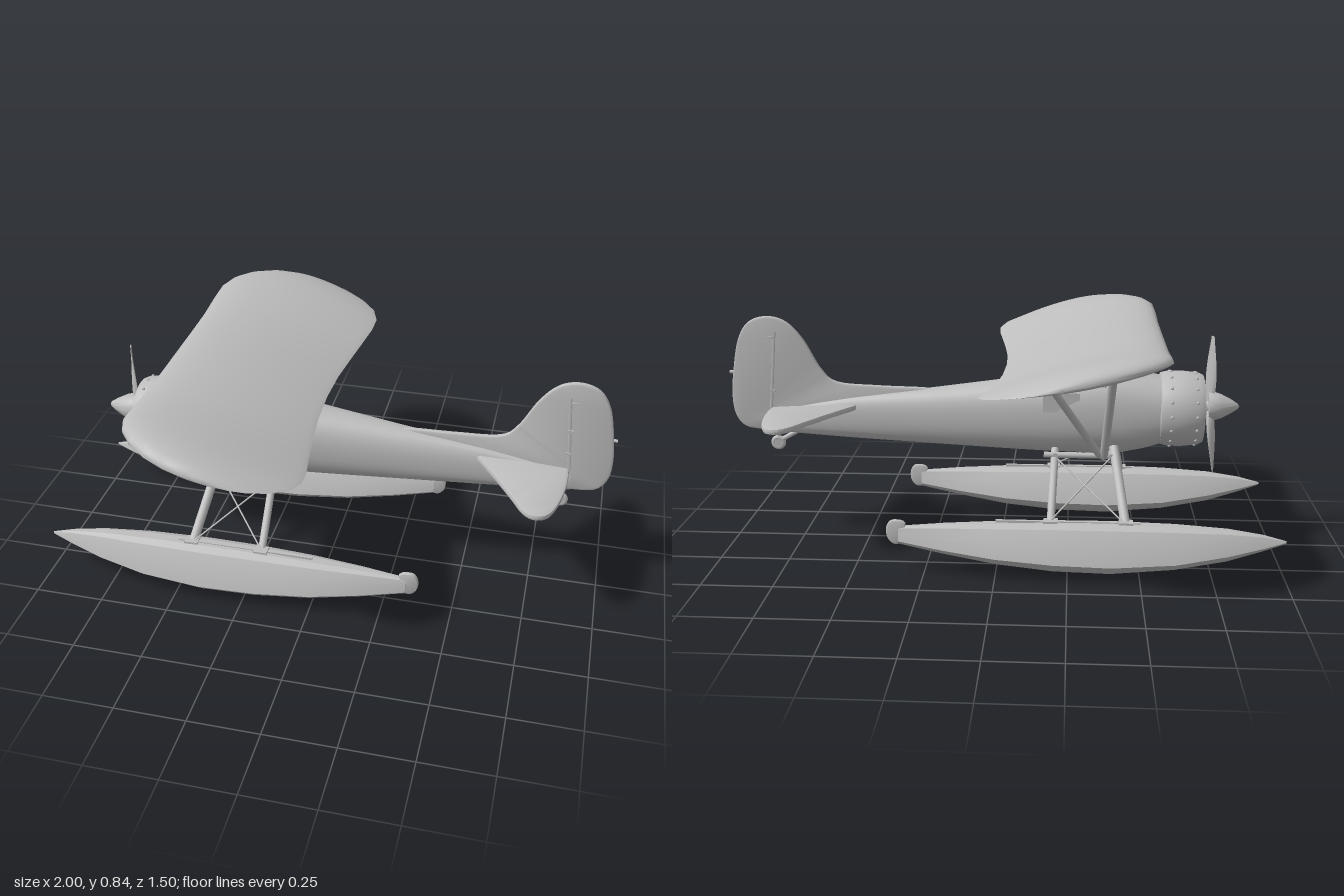
import * as THREE from 'three';
import { toCreasedNormals } from 'three/addons/utils/BufferGeometryUtils.js';

const gray = new THREE.MeshStandardMaterial({ color: 0xbdbdbd });
gray.name = 'plain gray';

const V = (x, y, z) => new THREE.Vector3(x, y, z);

// Skin a series of closed rings, cap both ends, and keep faces outward
function loft(rings, crease) {
  const n = rings[0].length, pos = [], idx = [];
  rings.forEach(r => r.forEach(p => pos.push(p.x, p.y, p.z)));
  for (let i = 0; i < rings.length - 1; i++) {
    for (let j = 0; j < n; j++) {
      const a = i * n + j, b = i * n + (j + 1) % n;
      idx.push(a, b, a + n, b, b + n, a + n);
    }
  }
  [0, rings.length - 1].forEach(k => {
    const c = V(0, 0, 0);
    rings[k].forEach(p => c.addScaledVector(p, 1 / n));
    const ci = pos.length / 3;
    pos.push(c.x, c.y, c.z);
    for (let j = 0; j < n; j++) {
      const a = k * n + j, b = k * n + (j + 1) % n;
      if (k === 0) idx.push(ci, b, a); else idx.push(ci, a, b);
    }
  });
  const at = i => V(pos[i * 3], pos[i * 3 + 1], pos[i * 3 + 2]);
  let volume = 0;
  for (let i = 0; i < idx.length; i += 3) volume += at(idx[i]).dot(at(idx[i + 1]).cross(at(idx[i + 2])));
  if (volume < 0) idx.reverse();
  const g = new THREE.BufferGeometry();
  g.setAttribute('position', new THREE.Float32BufferAttribute(pos, 3));
  g.setIndex(idx);
  return toCreasedNormals(g, crease);
}

// Thin plate with rounded edges from an outline in x and y
function plate(points, thickness) {
  const s = new THREE.Shape();
  s.moveTo(...points[0]);
  s.lineTo(...points[1]);
  s.splineThru(points.slice(2).map(p => new THREE.Vector2(...p)));
  const bevel = thickness * 0.4;
  const g = new THREE.ExtrudeGeometry(s, {
    depth: thickness - 2 * bevel, bevelThickness: bevel, bevelSize: bevel,
    bevelOffset: -bevel, bevelSegments: 2, curveSegments: 32,
  });
  g.translate(0, 0, bevel - thickness / 2);
  return toCreasedNormals(g, 0.7);
}

// Solid of revolution whose axis runs forward along -x
function turned(profile, y) {
  const g = new THREE.LatheGeometry(profile.map(p => new THREE.Vector2(...p)), 40);
  g.rotateZ(Math.PI / 2);
  g.translate(0, y, 0);
  return toCreasedNormals(g, 0.6);
}

export function createModel() {
  const model = new THREE.Group();
  model.name = 'floatplane';
  const add = (name, geometry, parent = model) => {
    const m = new THREE.Mesh(geometry, gray);
    m.name = name;
    parent.add(m);
    return m;
  };
  const rod = (name, a, b, r) => {
    const m = add(name, new THREE.CylinderGeometry(r, r, a.distanceTo(b), 12));
    m.position.copy(a).lerp(b, 0.5);
    m.quaternion.setFromUnitVectors(V(0, 1, 0), b.clone().sub(a).normalize());
    return m;
  };

  // Fuselage: x, bottom, top, half width
  const body = [
    [-0.6, 0.405, 0.64, 0.115], [-0.52, 0.38, 0.655, 0.122], [-0.44, 0.362, 0.677, 0.12],
    [-0.32, 0.358, 0.668, 0.116], [-0.15, 0.362, 0.643, 0.104], [0, 0.368, 0.622, 0.09],
    [0.25, 0.38, 0.588, 0.066], [0.55, 0.395, 0.55, 0.036], [0.86, 0.415, 0.5, 0.012],
  ];
  const power = c => Math.sign(c) * Math.abs(c) ** 0.85;
  add('fuselage', loft(body.map(([x, lo, hi, w]) => Array.from({ length: 36 }, (_, i) => {
    const a = i / 36 * Math.PI * 2;
    return V(x, (lo + hi) / 2 + (hi - lo) / 2 * power(Math.sin(a)), w * power(Math.cos(a)));
  })), 0.8));

  // Engine: cowl, cylinders, fasteners, spinner
  add('cowl', turned([[0.1, 0.565], [0.13, 0.575], [0.136, 0.6], [0.137, 0.65], [0.131, 0.71],
    [0.122, 0.728], [0.11, 0.73], [0.102, 0.72], [0.1, 0.66], [0, 0.66]], 0.525));
  add('crankcase', turned([[0.05, 0.65], [0.05, 0.71], [0.025, 0.74], [0.025, 0.76], [0, 0.76]], 0.53));
  add('spinner', turned([[0, 0.748], [0.052, 0.748], [0.053, 0.765], [0.044, 0.795],
    [0.025, 0.832], [0.01, 0.855], [0, 0.861]], 0.535));
  for (let i = 0; i < 9; i++) {
    const a = i / 9 * Math.PI * 2, s = Math.sin(a), c = Math.cos(a);
    rod('engineCylinder', V(-0.69, 0.525 + 0.04 * c, 0.04 * s), V(-0.69, 0.525 + 0.1 * c, 0.1 * s), 0.02);
  }
  for (let i = 0; i < 16; i++) {
    const a = i / 16 * Math.PI * 2;
    for (const [x, r] of [[-0.7, 0.132], [-0.61, 0.136]]) {
      add('cowlFastener', new THREE.SphereGeometry(0.006, 8, 6))
        .position.set(x, 0.525 + r * Math.cos(a), r * Math.sin(a));
    }
  }

  // Propeller blades, twisted along their length
  const blade = loft(Array.from({ length: 10 }, (_, i) => {
    const t = i / 9, y = 0.02 + t * 0.236, tw = 0.9 - 0.6 * t;
    const w = 0.01 + 0.017 * Math.sin(Math.PI * Math.min(1, 0.1 + t * 0.86)), d = 0.008 - 0.006 * t;
    return Array.from({ length: 12 }, (_, j) => {
      const a = j / 12 * Math.PI * 2, u = w * Math.cos(a), v = d * Math.sin(a);
      return V(u * Math.sin(tw) + v * Math.cos(tw), y, u * Math.cos(tw) - v * Math.sin(tw));
    });
  }), 0.9);
  for (const angle of [0, -2.44]) {
    const m = add('propellerBlade', blade);
    m.position.set(-0.755, 0.535, 0);
    m.rotation.x = angle;
  }

  // Wing half stations: z, leading edge x, trailing edge x, thickness factor
  const half = [
    [0, -0.58, -0.02, 1], [0.15, -0.58, -0.015, 1], [0.3, -0.58, 0, 1], [0.42, -0.58, 0.018, 1],
    [0.52, -0.575, 0.035, 1], [0.59, -0.55, 0.038, 0.98], [0.65, -0.505, 0.015, 0.9],
    [0.7, -0.44, -0.04, 0.75], [0.73, -0.37, -0.095, 0.55], [0.745, -0.3, -0.15, 0.3], [0.749, -0.25, -0.2, 0.08],
  ];
  const stations = [...half.slice(1).reverse().map(([z, ...r]) => [-z, ...r]), ...half];
  add('wing', loft(stations.map(([z, le, te, k]) => {
    const lift = 0.048 * THREE.MathUtils.smoothstep(Math.abs(z), 0.25, 0.78);
    return Array.from({ length: 36 }, (_, i) => {
      const a = i / 36 * Math.PI * 2, u = (1 - Math.cos(a)) / 2, x = le + (te - le) * u;
      const bulge = 2.6 * Math.sqrt(u) * (1 - u) + 0.1 * Math.abs(Math.sin(a));
      const chord = 0.783 - 0.105 * (x + 0.58) / 0.56;
      return V(x, chord + lift + k * bulge * (Math.sin(a) > 0 ? 0.046 : -0.017), z);
    });
  }), 1));

  // Tail: fin with its long forward fillet, and the tailplane
  add('finAndRudder', plate([[0.86, 0.42], [0.25, 0.575], [0.27, 0.588], [0.45, 0.594], [0.6, 0.606],
    [0.66, 0.655], [0.72, 0.76], [0.78, 0.825], [0.85, 0.846], [0.92, 0.825], [0.962, 0.76],
    [0.985, 0.65], [0.995, 0.55], [0.985, 0.475], [0.945, 0.43], [0.86, 0.42]], 0.022));
  rod('rudderPost', V(0.85, 0.5, 0), V(0.825, 0.79, 0), 0.0125);
  for (const y of [0.57, 0.66, 0.77]) {
    add('rudderHinge', new THREE.BoxGeometry(0.02, 0.008, 0.032)).position.set(0.84, y, 0);
  }
  rod('tailLamp', V(0.96, 0.637, 0), V(1, 0.637, 0), 0.006);
  for (const s of [1, -1]) {
    const g = plate([[0.85, 0], [0.5, 0], [0.53, 0.035], [0.6, 0.13], [0.67, 0.235], [0.715, 0.305], [0.76, 0.328],
      [0.805, 0.3], [0.835, 0.21], [0.85, 0.1], [0.85, 0]], 0.022);
    g.translate(-0.7, 0, 0);
    g.rotateX(s * Math.PI / 2);
    const m = add('tailplane', g);
    m.position.set(0.7, 0.506, 0);
    m.rotation.z = -0.06;
  }

  // Tail wheel
  rod('tailWheelLeg', V(0.75, 0.42, 0), V(0.83, 0.375, 0), 0.009);
  rod('tailWheelBrace', V(0.83, 0.425, 0), V(0.83, 0.375, 0), 0.007);
  add('tailWheel', new THREE.TorusGeometry(0.018, 0.01, 10, 20)).position.set(0.832, 0.37, 0);
  rod('tailWheelHub', V(0.832, 0.37, -0.01), V(0.832, 0.37, 0.01), 0.015);

  // Float stations: x, deck, chine, keel, half width
  const hull = [
    [-1, 0.143, 0.138, 0.133, 0.004], [-0.92, 0.163, 0.123, 0.103, 0.027], [-0.8, 0.18, 0.103, 0.063, 0.058],
    [-0.62, 0.191, 0.079, 0.027, 0.087], [-0.4, 0.196, 0.068, 0.006, 0.1], [-0.2, 0.195, 0.072, 0.011, 0.097],
    [0, 0.189, 0.083, 0.033, 0.082], [0.18, 0.18, 0.1, 0.067, 0.053], [0.34, 0.168, 0.118, 0.102, 0.02],
  ];
  for (const s of [1, -1]) {
    const cz = s * 0.32;
    add('float', loft(hull.map(([x, deck, chine, keel, w]) => {
      const side = [[0.2, deck], [0.48, deck - 0.1 * (deck - chine)], [0.8, chine + 0.45 * (deck - chine)],
        [1, chine], [0.72, keel + 0.55 * (chine - keel)], [0.42, keel + 0.36 * (chine - keel)]];
      const ring = [...side, [0, keel], ...side.slice().reverse().map(([u, y]) => [-u, y])];
      return ring.map(([u, y]) => V(x, y, cz + u * w));
    }), 0.3));
    add('floatDeckRib', new THREE.BoxGeometry(0.5, 0.008, 0.012)).position.set(-0.25, 0.195, cz);
    add('waterRudder', plate([[0.315, 0.11], [0.315, 0.18], [0.33, 0.19], [0.365, 0.19], [0.383, 0.165],
      [0.38, 0.125], [0.355, 0.102], [0.315, 0.11]], 0.02)).position.z = cz;

    // Float legs, bracing wires and the lower fuselage rail
    rod('frontFloatLeg', V(-0.41, 0.4, s * 0.09), V(-0.45, 0.18, cz), 0.017);
    rod('rearFloatLeg', V(-0.2, 0.39, s * 0.09), V(-0.19, 0.18, cz), 0.014);
    rod('bracingWire', V(-0.4, 0.37, s * 0.12), V(-0.19, 0.2, cz), 0.003);
    rod('bracingWire', V(-0.2, 0.37, s * 0.12), V(-0.44, 0.2, cz), 0.003);
    rod('lowerRail', V(-0.42, 0.375, s * 0.115), V(-0.16, 0.375, s * 0.115), 0.011);
    for (const x of [-0.45, -0.19]) {
      add('legFoot', new THREE.BoxGeometry(0.05, 0.012, 0.04)).position.set(x, 0.196, cz);
    }

    // Wing struts and short struts over the cabin
    rod('frontWingStrut', V(-0.375, 0.375, s * 0.115), V(-0.395, 0.755, s * 0.37), 0.015);
    rod('rearWingStrut', V(-0.36, 0.375, s * 0.115), V(-0.17, 0.71, s * 0.37), 0.013);
    rod('cabinStrut', V(-0.37, 0.62, s * 0.09), V(-0.31, 0.735, s * 0.04), 0.009);
    rod('cabinStrut', V(-0.37, 0.62, s * 0.09), V(-0.44, 0.755, s * 0.04), 0.009);

    // Side door panels
    add('sideDoor', new THREE.BoxGeometry(0.13, 0.07, 0.006)).position.set(-0.22, 0.565, s * 0.104);
  }
  for (const x of [-0.4, -0.2]) rod('spreaderBar', V(x, 0.375, -0.13), V(x, 0.375, 0.13), 0.01);
  return model;
}
